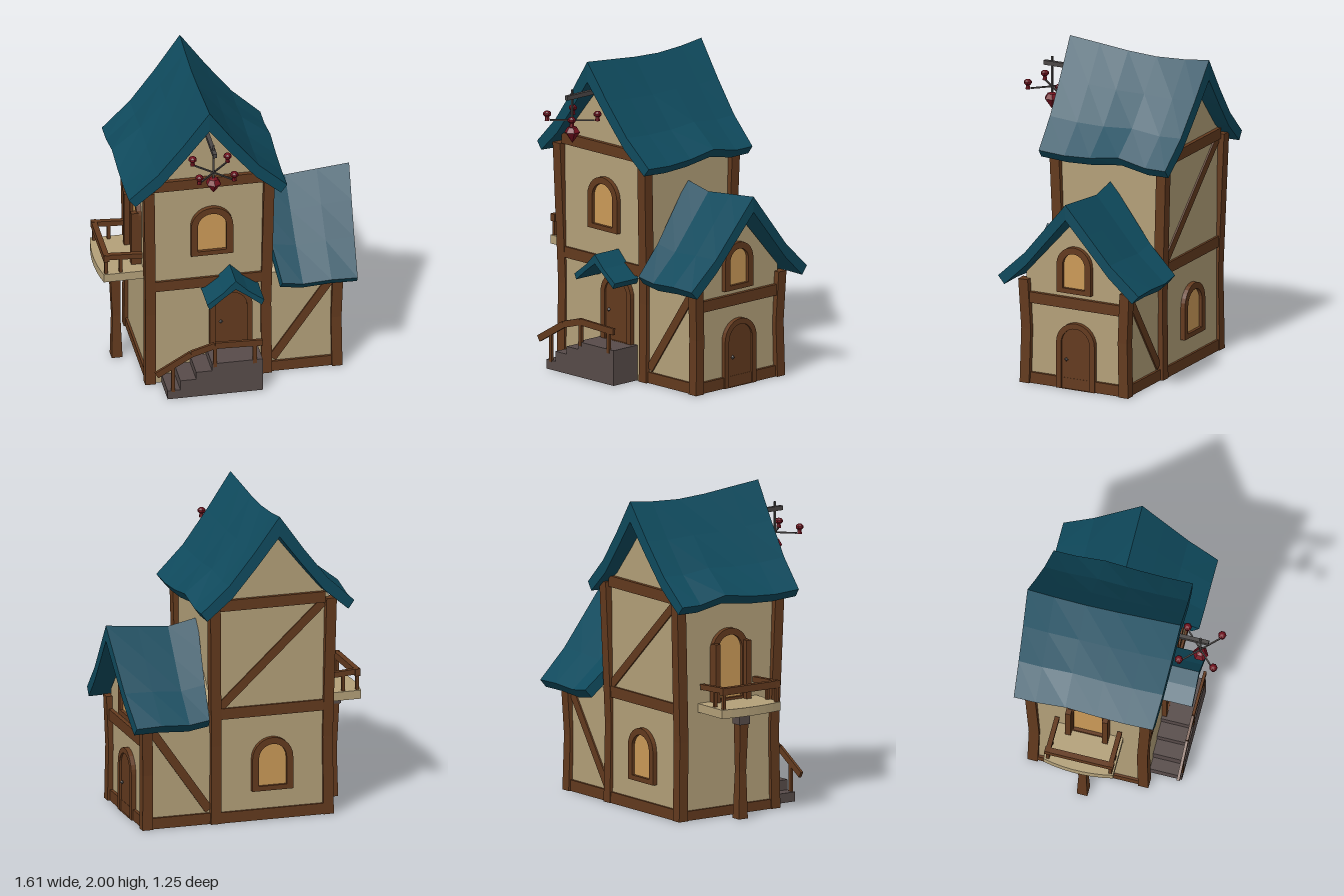
import * as THREE from 'three';

const mat = (name, color) => Object.assign(new THREE.MeshStandardMaterial({ color }), { name });

export function createModel() {
  const model = new THREE.Group();
  const plaster = mat('plaster', 0xb3a079);
  const wood = mat('wood', 0x633a1e);
  const tile = mat('roof tile', 0x0f4a5d);
  const stone = mat('stone', 0x574b49);
  const metal = mat('metal', 0x4a4645);
  const ruby = mat('ruby glass', 0x74121f);
  const amber = mat('amber glass', 0xcb9a58);

  const add = (name, geo, material, parent = model) => {
    const mesh = new THREE.Mesh(geo, material);
    mesh.name = name;
    parent.add(mesh);
    return mesh;
  };
  const flat = (geo) => {
    const g = geo.index ? geo.toNonIndexed() : geo;
    g.computeVertexNormals();
    return g;
  };
  const box = (name, material, x0, x1, y0, y1, z0, z1) => {
    const m = add(name, new THREE.BoxGeometry(x1 - x0, y1 - y0, z1 - z0), material);
    m.position.set((x0 + x1) / 2, (y0 + y1) / 2, (z0 + z1) / 2);
    return m;
  };
  // Bar of rectangular section from p to q
  const bar = (name, material, p, q, w, d = w, parent = model) => {
    const a = new THREE.Vector3(...p), b = new THREE.Vector3(...q);
    const m = add(name, new THREE.BoxGeometry(w, d, a.distanceTo(b)), material, parent);
    m.position.copy(a).add(b).multiplyScalar(0.5);
    m.lookAt(b);
    return m;
  };
  // Skin over even-sized rings of points, capped at both ends, faces turned outward
  const loft = (rings) => {
    const m = rings[0].length, idx = [], pts = rings.flat();
    const quad = (a, b, c, d) => idx.push(a, b, c, a, c, d);
    for (let r = 0; r < rings.length - 1; r++)
      for (let i = 0; i < m; i++) {
        const j = (i + 1) % m;
        quad(r * m + i, r * m + j, (r + 1) * m + j, (r + 1) * m + i);
      }
    const o = (rings.length - 1) * m;
    for (let k = 0; k < m / 2 - 1; k++) {
      quad(m - 1 - k, m - 2 - k, k + 1, k);
      quad(o + k, o + k + 1, o + m - 2 - k, o + m - 1 - k);
    }
    let volume = 0;
    const v = pts.map((p) => new THREE.Vector3(...p));
    for (let i = 0; i < idx.length; i += 3)
      volume += v[idx[i]].dot(v[idx[i + 1]].clone().cross(v[idx[i + 2]]));
    if (volume < 0) idx.reverse();
    const g = new THREE.BufferGeometry();
    g.setAttribute('position', new THREE.Float32BufferAttribute(pts.flat(), 3));
    g.setIndex(idx);
    return flat(g);
  };
  const square = (x, y, z, h) => [[x - h, y, z - h], [x + h, y, z - h], [x + h, y, z + h], [x - h, y, z + h]];

  // Gabled wall blocks
  const gable = (a, b, eave, r, top) => [[a, 0], [a, eave], [r, top], [b, eave], [b, 0], [(a + b) / 2, 0]];
  add('towerWalls', loft([0.235, -0.5].map((z) =>
    gable(-0.53, 0.22, 1.41, -0.17, 1.84).map(([x, y]) => [x, y, z]))), plaster);
  add('wingWalls', loft([0.2, 0.655].map((x) =>
    gable(0.22, -0.485, 0.71, -0.135, 1.1).map(([z, y]) => [x, y, z]))), plaster);

  // Sagging roofs: each station is [position, position at eave, ridge lift, eave lift]
  const roof = (name, outer, inner, stations, place) => {
    const both = (half) => [...half.slice(1).reverse().map(([d, y]) => [-d, y]), ...half];
    const ring = [...both(outer), ...both(inner).reverse()];
    const span = outer[outer.length - 1][0];
    add(name, loft(stations.map(([s, e, ridge, eave]) => ring.map(([d, y]) => {
      const t = Math.min(1, Math.abs(d) / span);
      return place(d, y + ridge + (eave - ridge) * t, s + (e - s) * t);
    }))), tile);
  };
  roof('towerRoof',
    [[0, 2.0], [0.16, 1.77], [0.32, 1.56], [0.5, 1.385]],
    [[0, 1.87], [0.15, 1.67], [0.3, 1.48], [0.46, 1.335]],
    [[0.36, 0.31, 0, 0.01], [0.15, 0.13, -0.02, 0], [-0.05, -0.05, -0.04, 0.01],
      [-0.25, -0.25, -0.05, 0.04], [-0.45, -0.44, -0.04, 0], [-0.62, -0.58, -0.02, 0]],
    (d, y, s) => [-0.17 + d, y, s]);
  roof('wingRoof',
    [[0, 1.23], [0.15, 1.05], [0.3, 0.87], [0.495, 0.69]],
    [[0, 1.13], [0.15, 0.955], [0.29, 0.79], [0.45, 0.64]],
    [[0.21, 0.29, 0, 0.02], [0.4, 0.42, -0.04, 0], [0.6, 0.6, -0.02, 0.01], [0.805, 0.765, 0, 0.005]],
    (d, y, s) => [s, y, -0.135 + d]);
  roof('porchRoof',
    [[0, 0.81], [0.08, 0.73], [0.18, 0.655]],
    [[0, 0.75], [0.08, 0.69], [0.165, 0.62]],
    [[0.44, 0.44, 0, 0], [0.23, 0.23, 0, 0]],
    (d, y, s) => [-0.02 + d, y, s]);

  // Corner posts, leaning outward at the top
  const post = (name, x, z, sx, sz, levels) => add(name, loft(levels.map(([y, k]) =>
    square(x + sx * k * 0.5, y, z + sz * k, 0.033))), wood);
  for (const [x, sx] of [[-0.52, -1], [0.21, 1]])
    for (const [z, sz] of [[0.215, 1], [-0.485, -1]])
      post('towerPost', x, z, sx, sz, [[0, 0.004], [0.5, -0.004], [0.95, 0.012], [1.4, 0.028]]);
  for (const [z, sz] of [[0.212, 1], [-0.478, -1]])
    post('wingPost', 0.655, z, 1, sz, [[0, 0.004], [0.35, -0.005], [0.67, 0.012]]);

  // Horizontal and diagonal timbers
  box('frontTopBeam', wood, -0.5, 0.19, 1.4, 1.47, 0.2, 0.262);
  box('frontMiddleBeam', wood, -0.5, 0.19, 0.67, 0.74, 0.2, 0.25);
  box('backTopBeam', wood, -0.5, 0.19, 1.37, 1.44, -0.525, -0.47);
  box('backMiddleBeam', wood, -0.5, 0.19, 0.67, 0.74, -0.515, -0.47);
  box('backBottomBeam', wood, -0.5, 0.19, 0, 0.07, -0.515, -0.47);
  box('leftBottomBeam', wood, -0.545, -0.5, 0, 0.06, -0.46, 0.19);
  box('wingFrontBottomBeam', wood, 0.23, 0.63, 0, 0.07, 0.19, 0.235);
  box('wingBackBottomBeam', wood, 0.23, 0.63, 0, 0.07, -0.502, -0.45);
  box('wingEndBottomBeam', wood, 0.63, 0.675, 0, 0.07, -0.46, 0.19);
  box('wingEndMiddleBeam', wood, 0.63, 0.68, 0.52, 0.59, -0.46, 0.19);
  bar('wingFrontBrace', wood, [0.25, 0.09, 0.215], [0.63, 0.64, 0.215], 0.03, 0.055);
  bar('wingBackBrace', wood, [0.25, 0.09, -0.48], [0.63, 0.64, -0.48], 0.03, 0.055);
  bar('backBrace', wood, [0.18, 0.75, -0.495], [-0.49, 1.37, -0.495], 0.03, 0.055);

  // Arched doors and windows, built facing +z with the sill at the origin
  const arch = (Type, w, h, y0 = 0) => {
    const s = new Type(), r = w / 2;
    s.moveTo(-r, y0);
    s.lineTo(r, y0);
    s.lineTo(r, h - r);
    s.absarc(0, h - r, r, 0, Math.PI, false);
    s.closePath();
    return s;
  };
  const extrude = (shape, depth) =>
    new THREE.ExtrudeGeometry(shape, { depth, bevelEnabled: false, curveSegments: 7 });
  const opening = (name, isDoor, w, h, pos, turn) => {
    const g = new THREE.Group(), rim = isDoor ? 0.035 : 0.042, sill = isDoor ? 0 : 0.03;
    g.name = name;
    g.position.set(...pos);
    g.rotation.y = turn;
    const frame = arch(THREE.Shape, w, h);
    frame.holes.push(arch(THREE.Path, w - 2 * rim, h - rim, sill + 0.001));
    add('frame', extrude(frame, 0.035), wood, g);
    add('panel', extrude(arch(THREE.Shape, w - 2 * rim, h - rim, sill), 0.009), isDoor ? wood : amber, g)
      .position.z = isDoor ? 0.014 : 0.005;
    if (isDoor) {
      const knob = add('knob', flat(new THREE.OctahedronGeometry(0.014)), metal, g);
      knob.position.set(-w * 0.24, 0.19, 0.03);
    }
    model.add(g);
  };
  opening('frontDoor', true, 0.27, 0.43, [-0.015, 0.225, 0.23], 0);
  opening('frontWindow', false, 0.265, 0.34, [-0.135, 0.91, 0.23], 0);
  opening('wingDoor', true, 0.27, 0.43, [0.65, 0, -0.14], Math.PI / 2);
  opening('wingWindow', false, 0.24, 0.3, [0.65, 0.62, -0.128], Math.PI / 2);
  opening('backWindow', false, 0.265, 0.34, [-0.155, 0.19, -0.495], Math.PI);
  opening('balconyDoor', false, 0.27, 0.47, [-0.525, 0.715, -0.135], -Math.PI / 2);
  box('balconyDoorHood', wood, -0.595, -0.55, 0.72, 1.1, -0.27, -0.235);
  box('balconyDoorHood', wood, -0.595, -0.55, 0.72, 1.1, -0.035, 0);

  // Stone steps climbing to the front door
  [[-0.45, 0.06], [-0.37, 0.125], [-0.27, 0.175], [-0.17, 0.225]].forEach(([x, y], i, all) =>
    box('step', stone, x, i < 3 ? all[i + 1][0] : 0.15, 0, y, 0.22, 0.44));
  const rail = [[-0.52, 0.18], [-0.3, 0.31], [-0.15, 0.355], [0.15, 0.345]];
  for (let i = 0; i < 3; i++)
    bar('stepRail', wood, [...rail[i], 0.435], [...rail[i + 1], 0.435], 0.018, 0.042);
  for (const [x, y0, y1] of [[-0.415, 0.05, 0.24], [-0.15, 0.2, 0.35], [0.1, 0.2, 0.35]])
    box('stepRailPost', wood, x - 0.012, x + 0.012, y0, y1, 0.424, 0.442);

  // Balcony with a bowed floor, railing and one leg
  const floor = new THREE.Shape();
  floor.moveTo(-0.52, -0.36);
  floor.lineTo(-0.785, -0.36);
  floor.quadraticCurveTo(-0.835, -0.14, -0.785, 0.085);
  floor.lineTo(-0.52, 0.085);
  floor.closePath();
  const slab = add('balconyFloor', extrude(floor, 0.055), plaster);
  slab.rotation.x = Math.PI / 2;
  slab.position.y = 0.73;
  box('balconyRailFront', wood, -0.785, -0.75, 0.82, 0.865, -0.355, 0.085);
  for (const z of [-0.335, 0.065]) {
    bar('balconyRailSide', wood, [-0.785, 0.85, z], [-0.54, 0.835, z], 0.03, 0.035);
    for (const x of [-0.768, -0.675])
      box('balconyRailPost', wood, x - 0.01, x + 0.01, 0.72, 0.84, z - 0.01, z + 0.01);
  }
  add('balconyLeg', loft([[0, -0.665, 0.034], [0.3, -0.668, 0.025], [0.62, -0.675, 0.033]]
    .map(([y, x, h]) => square(x, y, -0.135, h))), wood);
  box('balconyBracket', stone, -0.715, -0.64, 0.6, 0.68, -0.175, -0.095);

  // Hanging lantern under the front gable
  const cx = -0.17, cz = 0.487;
  bar('lanternArm', metal, [cx, 1.8, 0.22], [cx, 1.8, 0.54], 0.025, 0.028);
  box('lanternRod', metal, cx - 0.006, cx + 0.006, 1.58, 1.845, cz - 0.006, cz + 0.006);
  const gem = new THREE.LatheGeometry(
    [[0, 1.505], [0.05, 1.575], [0.03, 1.605], [0, 1.615]].map(([r, y]) => new THREE.Vector2(r, y)), 6);
  add('lanternGem', flat(gem), ruby).position.set(cx, 0, cz);
  for (let i = 0; i < 4; i++) {
    const a = Math.PI * (0.25 + i / 2), c = Math.cos(a), s = Math.sin(a);
    bar('lanternSpoke', metal, [cx, 1.65, cz], [cx + 0.138 * c, 1.65, cz + 0.138 * s], 0.009);
    const x = cx + 0.156 * c, z = cz + 0.156 * s;
    const ball = add('lanternBulb', flat(new THREE.SphereGeometry(0.027, 7, 5)), ruby);
    ball.scale.y = 0.75;
    ball.position.set(x, 1.69, z);
    add('lanternBulbStem', flat(new THREE.CylinderGeometry(0.012, 0.016, 0.03, 6)), ruby)
      .position.set(x, 1.662, z);
  }
  return model;
}
